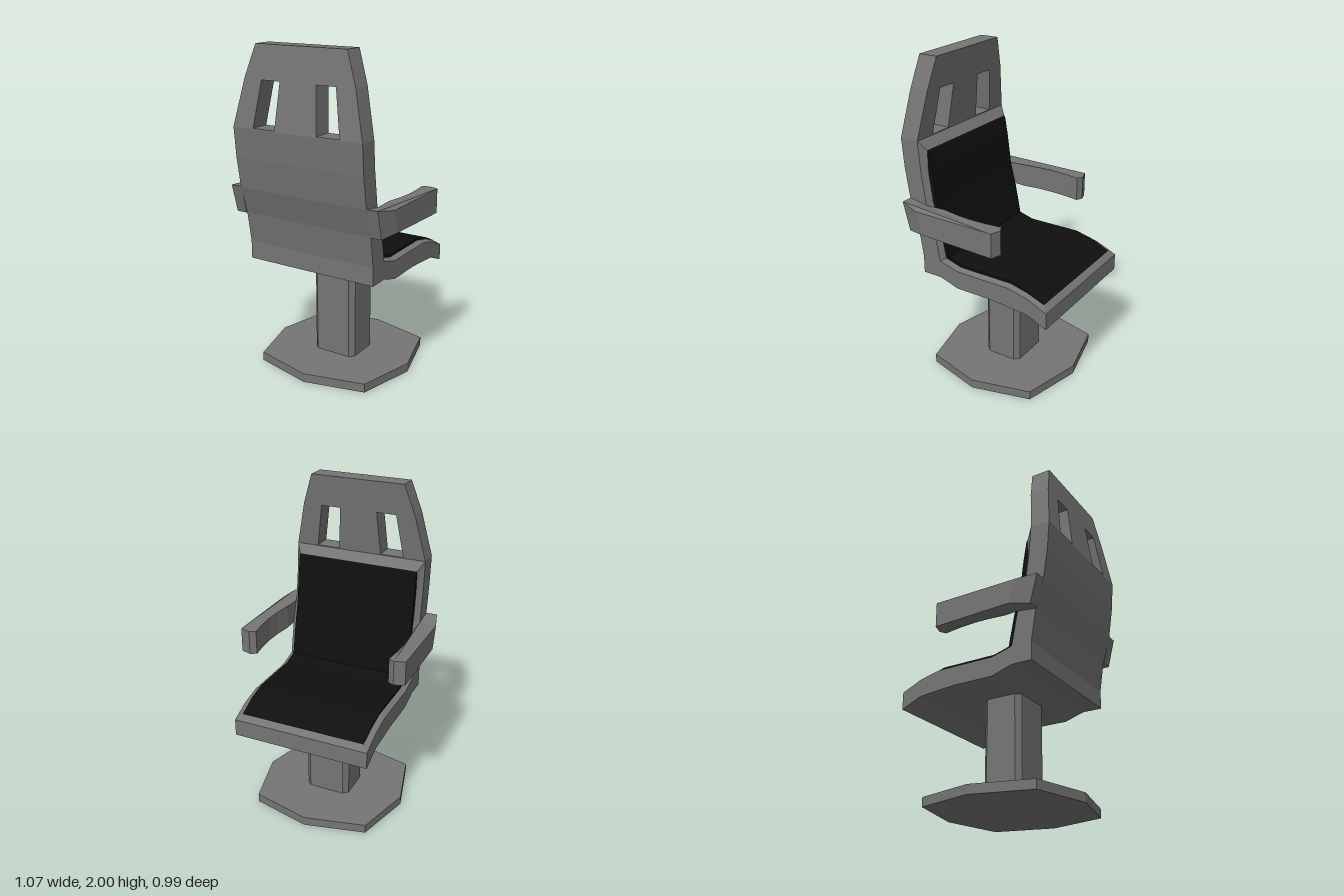
import * as THREE from 'three';

const grey = new THREE.MeshStandardMaterial({ color: 0x757575 });
grey.name = 'greyShell';
const black = new THREE.MeshStandardMaterial({ color: 0x0f0f0f });
black.name = 'blackCushion';

const toShape = (pts) => new THREE.Shape(pts.map(([x, y]) => new THREE.Vector2(x, y)));
const extrude = (shape, depth) => new THREE.ExtrudeGeometry(shape, { depth, bevelEnabled: false });

// Side profile of [z, y] points, extruded across the chair's width
function acrossWidth(profile, halfWidth) {
  const g = extrude(toShape(profile.map(([z, y]) => [-z, y])), halfWidth * 2);
  return g.rotateY(Math.PI / 2).translate(0, 0, 0).translate(-halfWidth, 0, 0);
}

// Floor plan of [x, z] points, extruded upwards
function upwards(plan, y0, y1) {
  const g = extrude(toShape(plan.map(([x, z]) => [x, -z])), y1 - y0);
  return g.rotateX(-Math.PI / 2).translate(0, y0, 0);
}

// Move every vertex by a rule and refresh the flat normals
function bend(g, rule) {
  const p = g.attributes.position;
  const v = new THREE.Vector3();
  for (let i = 0; i < p.count; i++) {
    rule(v.fromBufferAttribute(p, i));
    p.setXYZ(i, v.x, v.y, v.z);
  }
  g.computeVertexNormals();
  return g;
}

// Inner line of the shell, from the top of the back to the front of the seat
const shellLine = [
  [0.375, 1.53], [0.36, 1.35], [0.333, 1.16], [0.283, 1.0], [0.245, 0.8],
  [0.12, 0.765], [-0.24, 0.765], [-0.37, 0.735], [-0.495, 0.68],
];
// Upper surface of the cushion
const cushionLine = [
  [0.325, 1.465], [0.305, 1.35], [0.28, 1.16], [0.24, 1.0], [0.205, 0.82],
  [0.11, 0.793], [-0.23, 0.793], [-0.345, 0.765], [-0.455, 0.715],
];
// Where the sloping rim meets the cushion
const rimLine = shellLine.map(([z, y], i) => {
  const [cz, cy] = cushionLine[i];
  const t = i === 0 || i === shellLine.length - 1 ? 0.85 : 0.5;
  return [z + (cz - z) * t, y + (cy - y) * t];
});
const W = 0.43, CW = 0.395;

// Sloping border between the shell edge and the cushion
function rimGeometry() {
  const pos = [];
  const quad = (a, b, c, d) => pos.push(...a, ...b, ...c, ...a, ...c, ...d);
  const O = (i, s) => [s * W, shellLine[i][1], shellLine[i][0]];
  const I = (i, s) => [s * CW, rimLine[i][1], rimLine[i][0]];
  const last = shellLine.length - 1;
  for (let i = 0; i < last; i++) {
    quad(O(i, 1), O(i + 1, 1), I(i + 1, 1), I(i, 1));
    quad(O(i, -1), I(i, -1), I(i + 1, -1), O(i + 1, -1));
  }
  quad(O(0, 1), I(0, 1), I(0, -1), O(0, -1));
  quad(O(last, 1), O(last, -1), I(last, -1), I(last, 1));
  const g = new THREE.BufferGeometry();
  g.setAttribute('position', new THREE.Float32BufferAttribute(pos, 3));
  g.computeVertexNormals();
  return g;
}

// Tilted head panel with two slots
function headrestGeometry() {
  const shape = toShape([[-W, 1.53], [W, 1.53], [0.365, 1.81], [0.3, 2], [-0.3, 2], [-0.365, 1.81]]);
  for (const s of [-1, 1]) {
    const slot = [[0.14, 1.535], [0.12, 1.805], [0.245, 1.805], [0.288, 1.535]];
    shape.holes.push(new THREE.Path(slot.map(([x, y]) => new THREE.Vector2(s * x, y))));
  }
  return bend(extrude(shape, 0.12), (v) => { v.z += 0.375 - (v.y - 1.53) * 0.128; });
}

// Armrest: plan outline, with the rear end slanted to follow the back
function armGeometry(s) {
  const plan = [
    [0.43, 0.45], [0.5, 0.45], [0.535, 0.33], [0.535, -0.2], [0.47, -0.22],
    [0.432, -0.2], [0.445, -0.1], [0.45, 0], [0.445, 0.1], [0.43, 0.2], [0.43, 0.33],
  ];
  return bend(upwards(plan.map(([x, z]) => [s * x, z]), 0, 1), (v) => {
    const rear = v.z > 0.4, mid = v.z > 0.3;
    if (v.y > 0.5) {
      v.y = rear ? 1.165 : mid ? 1.145 : 1.145 + v.z * 0.02;
    } else {
      v.y = rear ? 0.99 : mid ? 1.005 : 0.99 + (v.z + 0.2) * 0.025;
      if (mid) v.z -= 0.045;
    }
  });
}

export function createModel() {
  const chair = new THREE.Group();
  chair.name = 'swivelChair';
  const add = (name, geometry, material) => {
    const mesh = new THREE.Mesh(geometry, material);
    mesh.name = name;
    chair.add(mesh);
  };

  // Floor plate and chamfered column
  add('base', upwards([
    [0.47, 0], [0.375, 0.36], [0, 0.45], [-0.375, 0.36],
    [-0.47, 0], [-0.375, -0.36], [0, -0.45], [0.375, -0.36],
  ], 0, 0.055), grey);
  add('column', upwards([
    [0.145, 0.093], [0.115, 0.123], [-0.115, 0.123], [-0.145, 0.093],
    [-0.145, -0.093], [-0.115, -0.123], [0.115, -0.123], [0.145, -0.093],
  ], 0.05, 0.67), grey);

  // One-piece seat and back
  const underside = [
    [-0.495, 0.575], [-0.37, 0.63], [-0.24, 0.642], [-0.12, 0.65], [0.12, 0.65], [0.245, 0.69],
    [0.37, 0.69], [0.37, 0.8], [0.4, 0.99], [0.45, 1.16], [0.48, 1.35], [0.495, 1.53],
  ];
  add('shell', acrossWidth([...shellLine, ...underside], W), grey);
  add('headrest', headrestGeometry(), grey);
  add('cushionRim', rimGeometry(), grey);
  add('cushion', acrossWidth([...cushionLine, ...[...rimLine].reverse()], CW), black);

  // Armrests
  add('leftArm', armGeometry(1), grey);
  add('rightArm', armGeometry(-1), grey);
  return chair;
}
